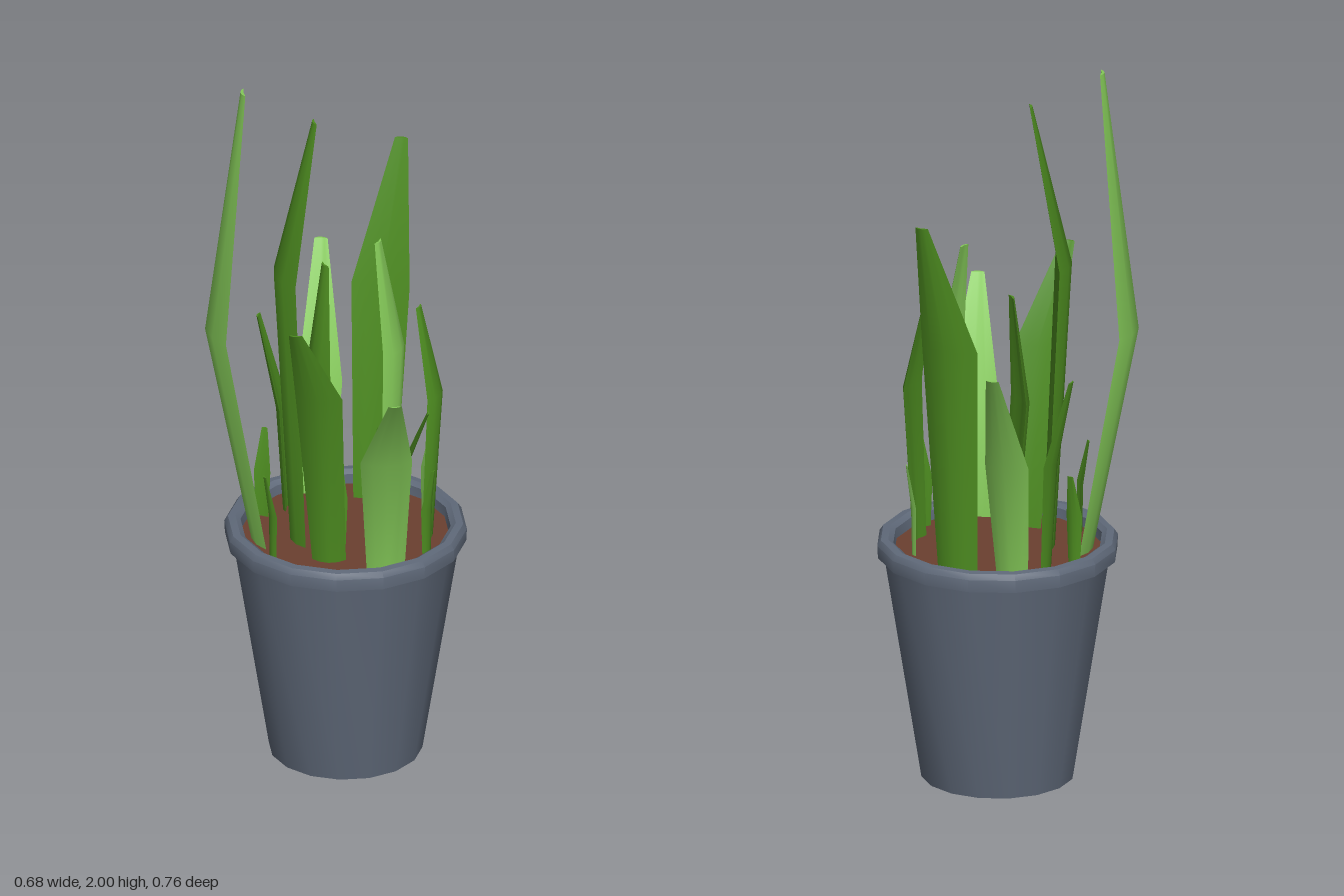
import * as THREE from 'three';
import { toCreasedNormals } from 'three/addons/utils/BufferGeometryUtils.js';

const SOIL_Y = 0.645, CENTRE_Z = 0.0125;

const mat = (color) => new THREE.MeshStandardMaterial({ color });
const slate = mat(0x5f6979), brown = mat(0x6b4030), light = mat(0x84c958), dark = mat(0x4d8c20);

function addMesh(parent, name, geometry, material) {
  const mesh = new THREE.Mesh(geometry, material);
  mesh.name = name;
  parent.add(mesh);
  return mesh;
}

function lathe(points) {
  const profile = points.map(([r, y]) => new THREE.Vector2(r, y));
  return toCreasedNormals(new THREE.LatheGeometry(profile, 16), 0.7);
}

// Thick folded leaf: crescent sections at the base, the bend and the tip.
// left and right are the leaf's two edges at the bend; the keel lies on the side (-pz, px).
function leafGeometry({ base, left, right, bendY, tip, tipY, tipWidth = 0.018 }) {
  const L = new THREE.Vector2(...left), R = new THREE.Vector2(...right);
  const w = L.distanceTo(R) / 2;
  const p = R.clone().sub(L).normalize();
  const k = new THREE.Vector2(-p.y, p.x);
  const mid = L.clone().add(R).multiplyScalar(0.5);
  const rings = [
    [base[0], SOIL_Y - 0.04, base[1], w * 0.7],
    [mid.x, bendY, mid.y, w],
    [tip[0], tipY, tip[1], Math.min(tipWidth, w * 0.35)],
  ];
  // Section in units of half width: outer curve, then the inner curve back.
  const section = [[-1, 0], [-0.55, 0.32], [0, 0.45], [0.55, 0.32], [1, 0], [0.5, 0.02], [0, 0.12], [-0.5, 0.02]];
  const n = section.length, pos = [], index = [];
  for (const [x, y, z, r] of rings)
    for (const [s, d] of section) pos.push(x + r * (s * p.x + d * k.x), y, z + r * (s * p.y + d * k.y));
  for (let j = 0; j < rings.length - 1; j++)
    for (let i = 0; i < n; i++) {
      const a = j * n + i, b = j * n + (i + 1) % n;
      index.push(a, b, b + n, a, b + n, a + n);
    }
  const top = (rings.length - 1) * n;
  for (let i = 0; i < n; i++) {
    const q = (i + 2) % n;
    if (i > 0 && i < n - 1) index.push(top + 2, top + q, top + (q + 1) % n);
  }
  const g = new THREE.BufferGeometry();
  g.setAttribute('position', new THREE.Float32BufferAttribute(pos, 3));
  g.setIndex(index);
  return toCreasedNormals(g, 0.9);
}

export function createModel() {
  const model = new THREE.Group();
  model.name = 'pottedPlant';

  // Pot, rim and soil
  const pot = new THREE.Group();
  pot.name = 'pot';
  pot.position.z = CENTRE_Z;
  model.add(pot);
  addMesh(pot, 'potBody', lathe([[0, 0], [0.207, 0], [0.309, 0.64]]), slate);
  addMesh(pot, 'potRim', lathe([
    [0.28, 0.63], [0.325, 0.63], [0.327, 0.665], [0.317, 0.68], [0.297, 0.682], [0.283, 0.672], [0.278, 0.63],
  ]), slate);
  addMesh(pot, 'soil', new THREE.CircleGeometry(0.285, 16).rotateX(-Math.PI / 2).translate(0, SOIL_Y, 0), brown);

  // Large leaves
  const leaves = [
    { name: 'tallLeftLeaf', m: light, base: [-0.175, 0.14], left: [-0.335, 0.11], right: [-0.225, 0.28], bendY: 1.28, tip: [-0.22, 0.18], tipY: 2, tipWidth: 0.024 },
    { name: 'tallMiddleLeaf', m: dark, base: [-0.09, 0.1], left: [-0.172, 0.06], right: [-0.06, 0.192], bendY: 1.45, tip: [-0.06, 0.075], tipY: 1.9 },
    { name: 'backLeaf', m: dark, base: [-0.015, -0.185], left: [0.065, -0.24], right: [-0.09, -0.2], bendY: 1.28, tip: [-0.015, -0.35], tipY: 1.665 },
    { name: 'backRightLeaf', m: light, base: [-0.165, -0.14], left: [-0.12, -0.205], right: [-0.235, -0.165], bendY: 0.97, tip: [-0.27, -0.375], tipY: 1.29 },
    { name: 'frontLeftLeaf', m: light, base: [0.195, 0.16], left: [0.147, 0.215], right: [0.265, 0.14], bendY: 0.98, tip: [0.325, 0.36], tipY: 1.26 },
    { name: 'frontLeaf', m: dark, base: [0.035, 0.175], left: [-0.03, 0.25], right: [0.085, 0.2], bendY: 1.15, tip: [0.03, 0.37], tipY: 1.41 },
    { name: 'innerLightLeaf', m: light, base: [0.095, -0.05], left: [0.112, 0.01], right: [0.112, -0.105], bendY: 1.2, tip: [0.065, -0.05], tipY: 1.51 },
    { name: 'innerLeftLeaf', m: dark, base: [0.205, -0.06], left: [0.23, -0.02], right: [0.225, -0.11], bendY: 1.08, tip: [0.177, -0.07], tipY: 1.33 },
    { name: 'leftLeaf', m: dark, base: [0.165, 0.06], left: [0.205, 0.105], right: [0.18, 0.038], bendY: 0.9, tip: [0.28, 0.08], tipY: 1.1 },
    { name: 'rightLeaf', m: dark, base: [-0.2, -0.045], left: [-0.23, -0.09], right: [-0.21, -0.008], bendY: 0.95, tip: [-0.295, -0.055], tipY: 1.2 },
    { name: 'innerRightLeaf', m: dark, base: [-0.08, -0.055], left: [-0.15, -0.06], right: [-0.05, 0.005], bendY: 1.1, tip: [-0.095, -0.055], tipY: 1.4 },
  ];

  // Small shoots: base x, base z, tip x, tip z, material
  const shoots = [
    [0.015, -0.105, 0.03, -0.125, dark], [0.145, -0.165, 0.16, -0.18, light], [-0.24, 0.035, -0.245, 0.01, dark],
    [0.25, 0.025, 0.272, 0.03, dark], [0.02, 0.09, 0.01, 0.075, dark], [-0.1, 0.245, -0.115, 0.265, dark],
  ];
  shoots.forEach(([x, z, tx, tz, m], i) => {
    const d = new THREE.Vector2(tx - x, tz - z).setLength(0.023);
    leaves.push({
      name: `shoot${i + 1}`, m, base: [x, z], left: [x - d.y, z + d.x], right: [x + d.y, z - d.x],
      bendY: 0.78, tip: [tx, tz], tipY: 0.9,
    });
  });

  for (const leaf of leaves) addMesh(model, leaf.name, leafGeometry(leaf), leaf.m);
  return model;
}
